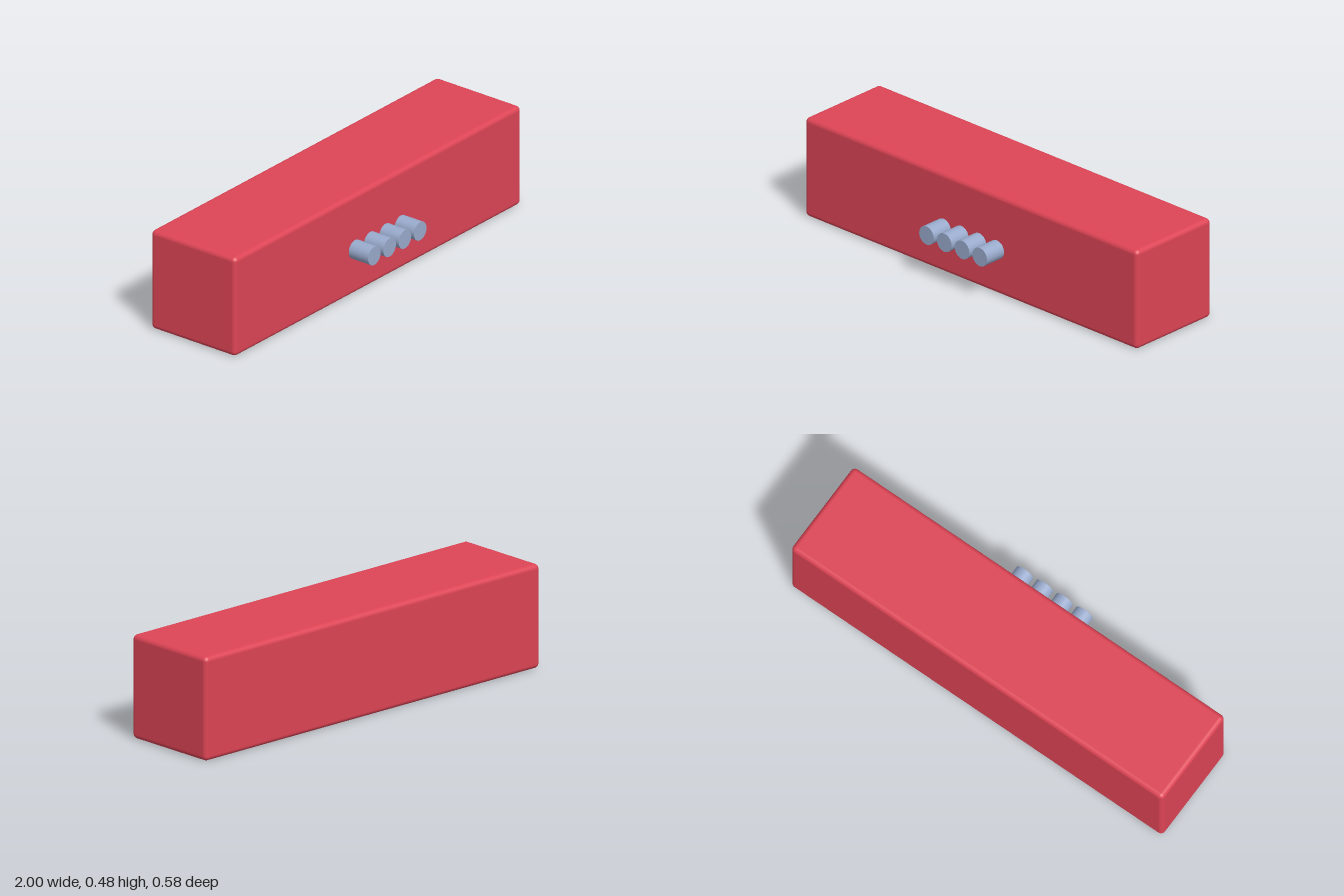
import * as THREE from 'three';
import { RoundedBoxGeometry } from 'three/addons/geometries/RoundedBoxGeometry.js';

export function createModel() {
  const model = new THREE.Group();
  model.name = 'barWithPegs';

  const red = new THREE.MeshStandardMaterial({ color: 0xdd4455 });
  const blueGrey = new THREE.MeshStandardMaterial({ color: 0x99aacc });

  // Long bar with softly rounded edges
  const bar = new THREE.Mesh(new RoundedBoxGeometry(2, 0.477, 0.475, 5, 0.022), red);
  bar.name = 'bar';
  bar.position.set(0, 0.2385, -0.053);
  model.add(bar);

  // Row of four round pegs set into the front face
  const pegs = new THREE.Group();
  pegs.name = 'pegs';
  const pegGeometry = new THREE.CylinderGeometry(0.044, 0.044, 0.213, 32).rotateX(Math.PI / 2);
  for (let i = 0; i < 4; i++) {
    const peg = new THREE.Mesh(pegGeometry, blueGrey);
    peg.name = `peg${i + 1}`;
    peg.position.set(-0.163 + i * 0.1067, 0.215, 0.1865);
    pegs.add(peg);
  }
  model.add(pegs);

  return model;
}
